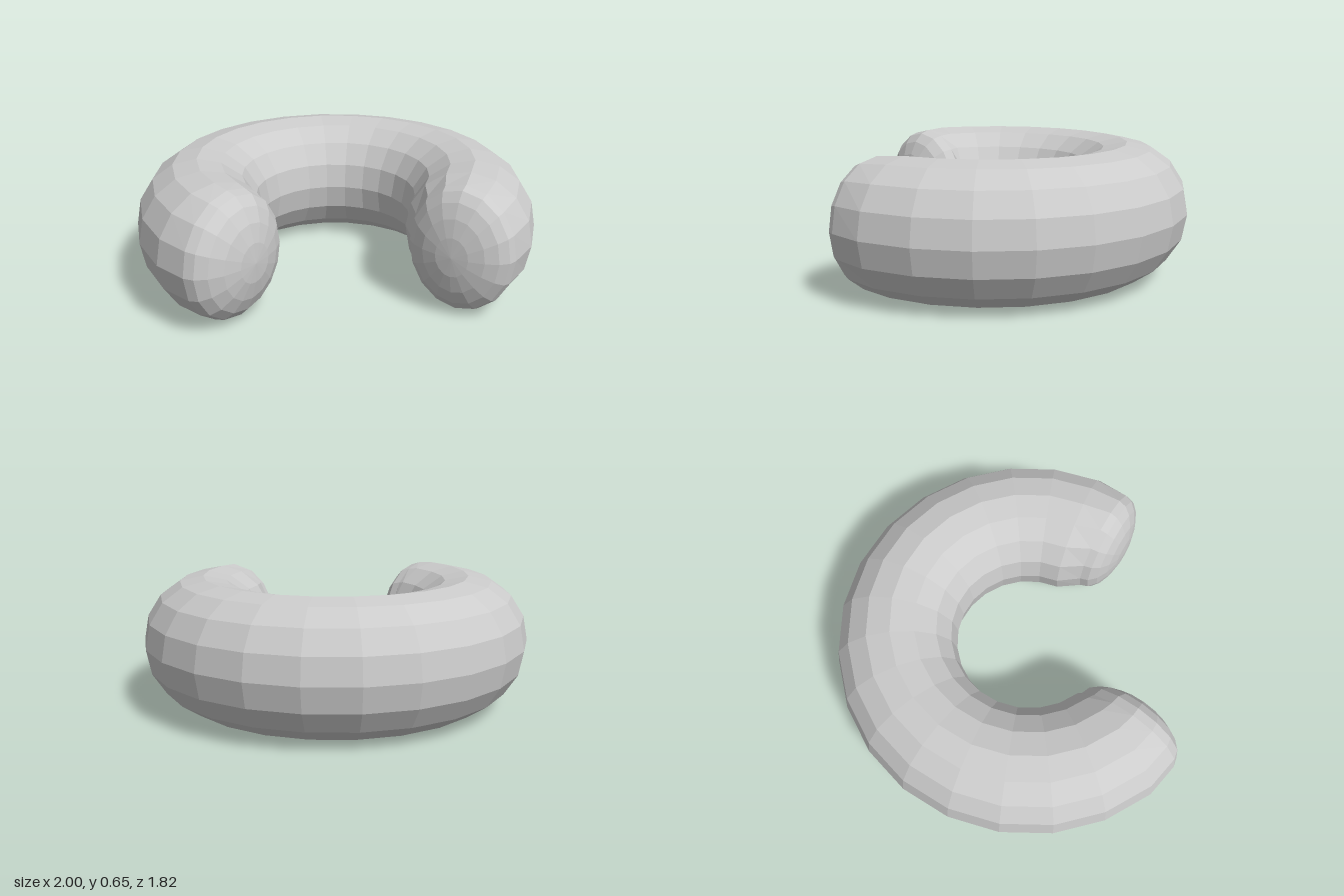
import * as THREE from 'three';

const SIDES = 16;
const MID_Y = 0.325; // height of the tube's centre line
const MID_Z = 0.09; // centre of the ring's bend

// Elliptical cross-section: (x, z) centre, (ox, oz) outward direction, half width and half height
function section(x, z, ox, oz, halfWidth, halfHeight) {
  const points = [];
  for (let j = 0; j < SIDES; j++) {
    const t = (j / SIDES) * Math.PI * 2;
    const w = Math.cos(t) * halfWidth;
    points.push([x + ox * w, MID_Y + Math.sin(t) * halfHeight, z + oz * w]);
  }
  return points;
}

// Shallow dome from its rim (outer to inner point) to its tip; side gives the facing
function dome([ax, az], [bx, bz], depth, side) {
  const halfWidth = Math.hypot(ax - bx, az - bz) / 2;
  const ox = (ax - bx) / 2 / halfWidth, oz = (az - bz) / 2 / halfWidth;
  const nx = -oz * side, nz = ox * side;
  const rings = [];
  for (let k = 0; k <= 5; k++) {
    const q = (k / 5) * Math.PI / 2;
    const d = depth * Math.sin(q), s = Math.cos(q);
    rings.push(section((ax + bx) / 2 + nx * d, (az + bz) / 2 + nz * d, ox, oz, halfWidth * s, 0.315 * s));
  }
  return rings;
}

// Joins consecutive cross-sections with quads
function loft(rings) {
  const index = [];
  for (let i = 0; i < rings.length - 1; i++) {
    for (let j = 0; j < SIDES; j++) {
      const a = i * SIDES + j, b = i * SIDES + (j + 1) % SIDES;
      const c = b + SIDES, d = a + SIDES;
      index.push(a, d, b, b, d, c);
    }
  }
  const geometry = new THREE.BufferGeometry();
  geometry.setAttribute('position', new THREE.Float32BufferAttribute(rings.flat(2), 3));
  geometry.setIndex(index);
  geometry.computeVertexNormals();
  return geometry;
}

export function createModel() {
  const group = new THREE.Group();
  const material = new THREE.MeshStandardMaterial({ color: 0xcccccc, flatShading: true });
  const add = (name, rings) => {
    const mesh = new THREE.Mesh(loft(rings), material);
    mesh.name = name;
    group.add(mesh);
  };

  const leftDome = dome([0.55, 0.9], [0.235, 0.48], 0.13, 1);
  const rightDome = dome([-0.882, 0.513], [-0.375, 0.2], 0.158, -1);

  // Bent tube, swept from the left end round the back to the right end
  const tube = [leftDome[0]];
  for (let deg = 45; deg >= -195; deg -= 15) {
    const a = THREE.MathUtils.degToRad(deg);
    const c = Math.cos(a), s = Math.sin(a);
    tube.push(section(0.688 * c, MID_Z + 0.688 * s, c, s, 0.31, 0.325));
  }
  tube.push(rightDome[0]);
  add('curvedTube', tube);

  // Rounded ends
  add('leftEnd', leftDome.reverse());
  add('rightEnd', rightDome);
  return group;
}
